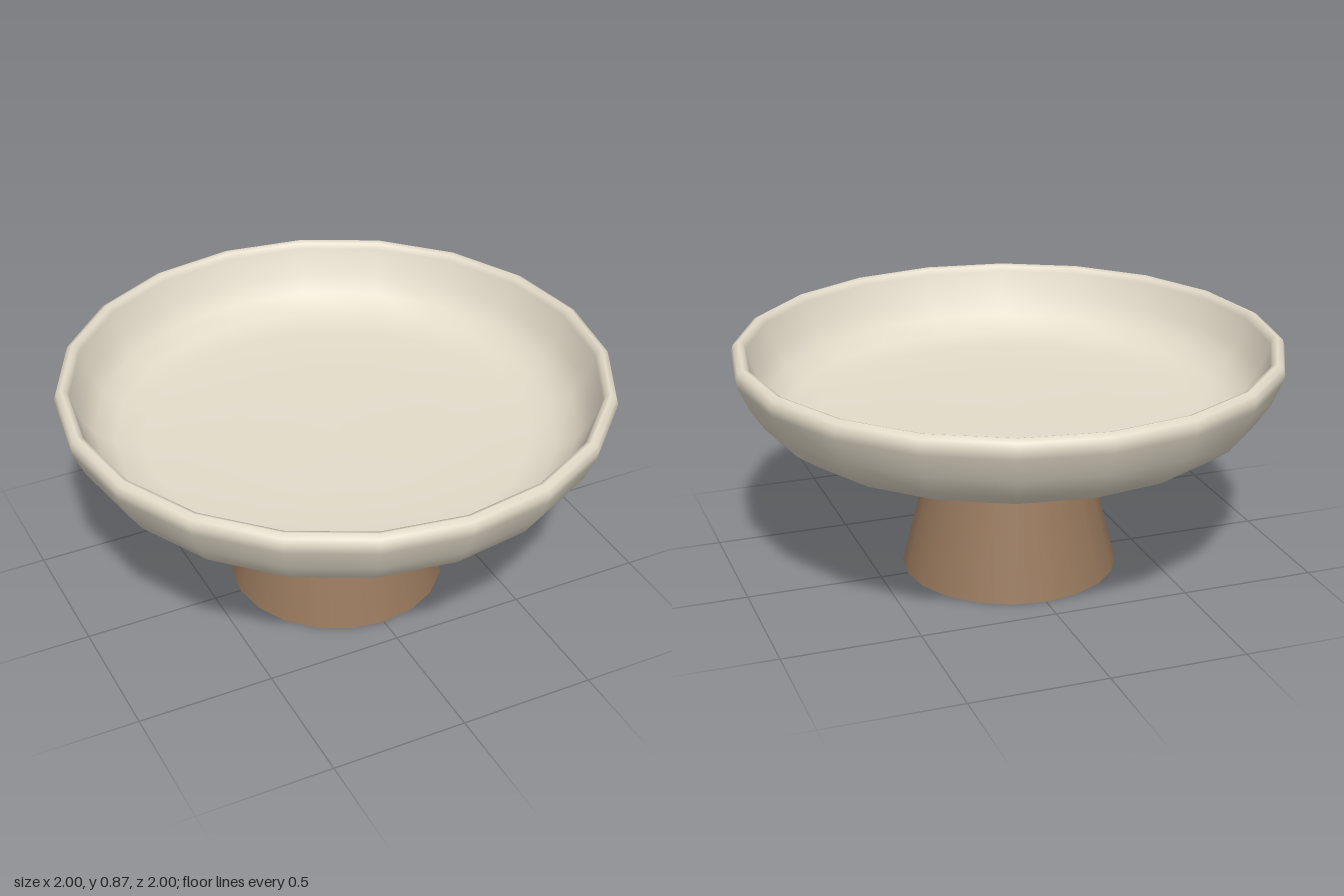
import * as THREE from 'three';

const SIDES = 20;

export function createModel() {
  const model = new THREE.Group();
  const cream = new THREE.MeshStandardMaterial({ name: 'creamGlaze', color: 0xe4dcca });
  const wood = new THREE.MeshStandardMaterial({ name: 'brownWood', color: 0x96775c });

  const add = (name, geometry, material, y = 0) => {
    const mesh = new THREE.Mesh(geometry, material);
    mesh.name = name;
    mesh.position.y = y;
    model.add(mesh);
    return mesh;
  };

  // Bowl shell: up the outside, over the rolled rim, down the inside to the centre
  const profile = [
    [0.74, 0.555], [0.83, 0.58], [0.905, 0.635], [0.955, 0.71], [0.995, 0.8],
    [1, 0.83], [0.992, 0.855], [0.972, 0.866], [0.955, 0.86], [0.947, 0.84],
    [0.915, 0.745], [0.87, 0.68], [0.8, 0.63], [0.7, 0.605], [0.4, 0.595], [0, 0.592],
  ].map(([r, y]) => new THREE.Vector2(r, y));
  add('bowl', new THREE.LatheGeometry(profile, SIDES), cream);

  // Flat underside with a crisp edge
  const underside = new THREE.CircleGeometry(0.74, SIDES).rotateX(Math.PI / 2);
  add('bowlUnderside', underside, cream, 0.555);

  // Tapered foot
  add('pedestal', new THREE.CylinderGeometry(0.26, 0.398, 0.555, SIDES), wood, 0.2775);

  return model;
}
